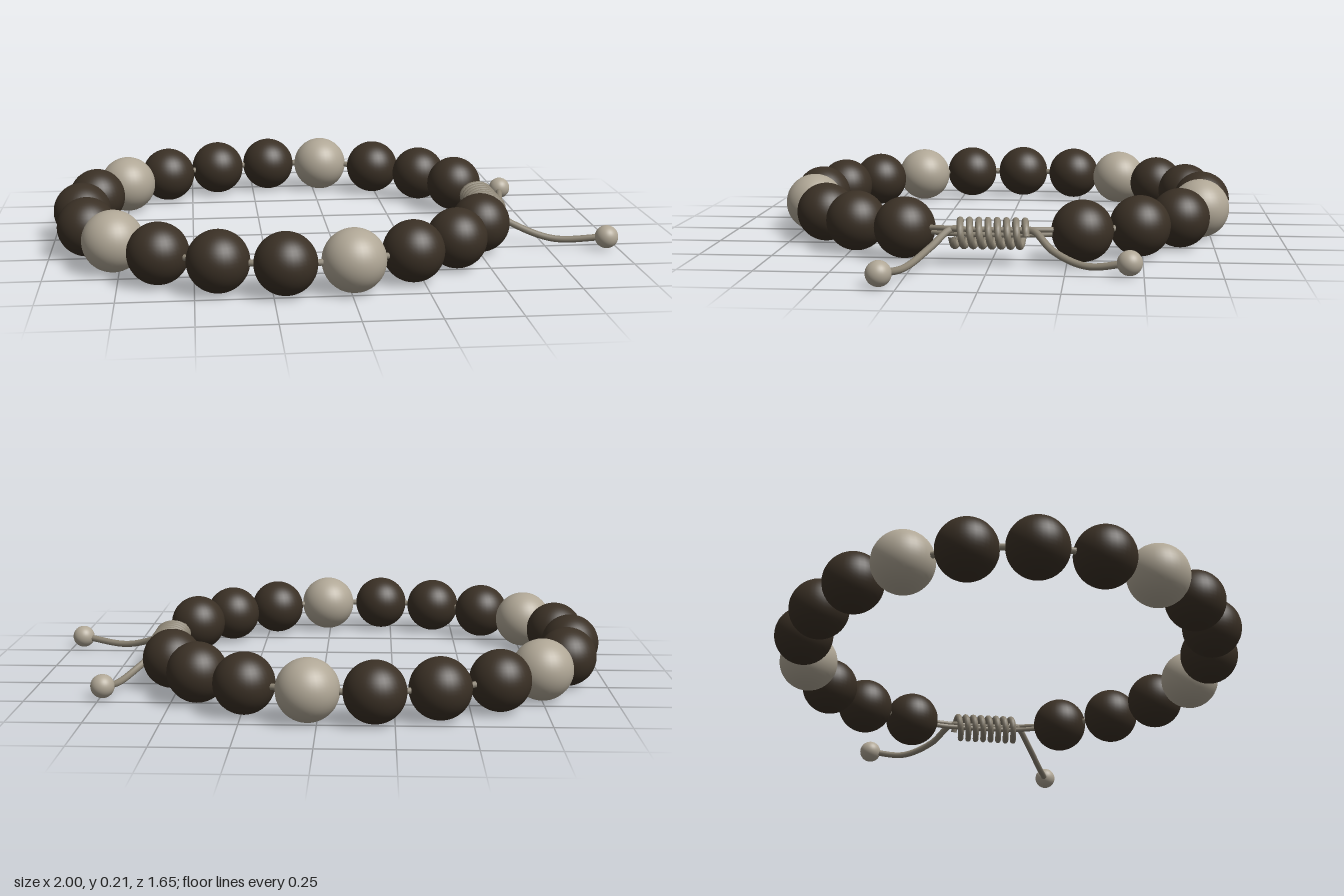
import * as THREE from 'three';

const material = (name, color) => {
  const m = new THREE.MeshStandardMaterial({ color });
  m.name = name;
  return m;
};

export function createModel() {
  const group = new THREE.Group();
  const darkWood = material('darkWood', 0x3a3025);
  const paleStone = material('paleStone', 0xb0a796);
  const cordFibre = material('cordFibre', 0x8c8474);
  const Y = 0.106;

  const add = (name, geometry, mat) => {
    const mesh = new THREE.Mesh(geometry, mat);
    mesh.name = name;
    group.add(mesh);
    return mesh;
  };
  const ball = (name, r, mat, x, y, z) =>
    add(name, new THREE.SphereGeometry(r, 36, 24), mat).position.set(x, y, z);
  const tube = (name, points, r, segments) => {
    const curve = new THREE.CatmullRomCurve3(points.map(p => new THREE.Vector3(...p)));
    add(name, new THREE.TubeGeometry(curve, segments, r, 10), cordFibre);
  };

  // Beads around the loop, every fourth one pale
  const beads = [
    [0.52, -0.30], [0.41, -0.49], [0.24, -0.63], [0.03, -0.71], [-0.185, -0.727],
    [-0.395, -0.675], [-0.595, -0.567], [-0.75, -0.415], [-0.857, -0.223], [-0.897, -0.005],
    [-0.867, 0.213], [-0.768, 0.406], [-0.615, 0.567], [-0.423, 0.675], [-0.21, 0.722],
    [0.01, 0.706], [0.215, 0.62], [0.385, 0.48], [0.503, 0.294]
  ];
  beads.forEach(([x, z], i) => {
    const pale = i % 4 === 3;
    ball(pale ? 'paleBead' : 'darkBead', pale ? 0.105 : 0.103, pale ? paleStone : darkWood, x, Y, z);
  });

  // Cord threaded through the beads
  tube('beadCord', beads.map(([x, z]) => [x, Y, z]), 0.011, 160);

  // Two strands closing the loop through the knot
  for (const s of [-1, 1]) {
    tube('knotStrand', [
      [0.52, Y, -0.30], [0.552 + s * 0.006, Y + s * 0.009, -0.19], [0.565 + s * 0.01, Y + s * 0.01, -0.1],
      [0.565 + s * 0.01, Y + s * 0.01, 0.1], [0.545 + s * 0.006, Y + s * 0.009, 0.18], [0.503, Y, 0.294]
    ], 0.009, 40);
  }

  // Wrapped sliding knot
  const turns = 8, steps = 12;
  const coil = [];
  for (let i = 0; i <= turns * steps; i++) {
    const a = (i / steps) * Math.PI * 2;
    const t = i / (turns * steps);
    coil.push([0.574 + 0.055 * Math.cos(a), 0.103 + 0.042 * Math.sin(a), -0.122 + 0.244 * t]);
  }
  tube('wrappedKnot', coil, 0.0115, turns * 28);

  // Loose tails, each finished with a small bead
  const tails = [
    [[0.56, 0.11, -0.10], [0.575, 0.113, -0.14], [0.645, 0.06, -0.21], [0.705, 0.025, -0.32], [0.738, 0.045, -0.455]],
    [[0.55, 0.11, 0.09], [0.565, 0.113, 0.13], [0.647, 0.068, 0.187], [0.78, 0.028, 0.25], [0.957, 0.045, 0.305]]
  ];
  for (const points of tails) {
    tube('cordTail', points, 0.012, 40);
    ball('tailBead', 0.041, paleStone, ...points[points.length - 1]);
  }

  return group;
}
